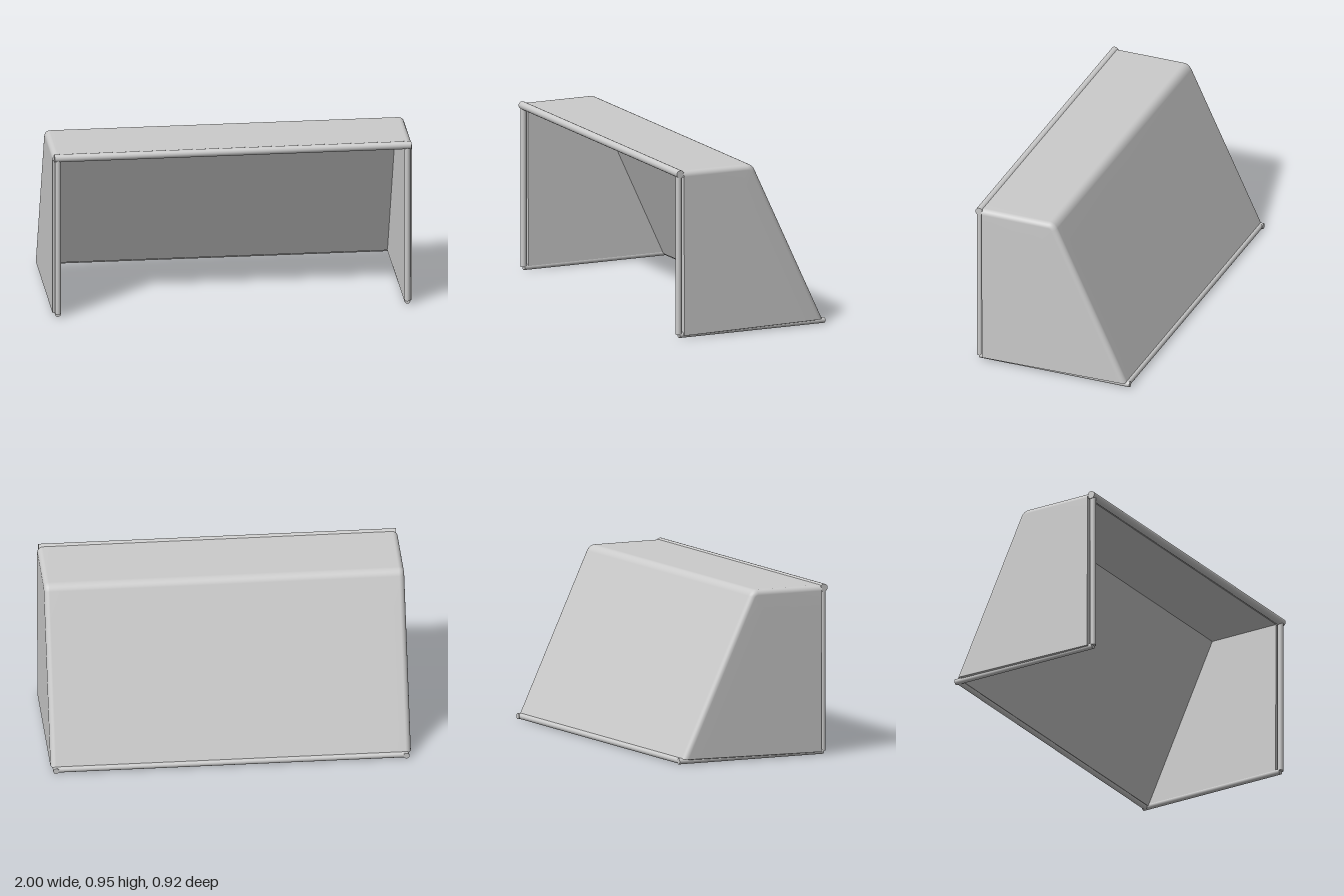
import * as THREE from 'three';

const material = new THREE.MeshStandardMaterial({ color: 0xcccccc });
const netMaterial = new THREE.MeshStandardMaterial({ color: 0xcccccc, side: THREE.DoubleSide });

// Round bar between two points
function bar(name, from, to, radius) {
  const a = new THREE.Vector3(...from), b = new THREE.Vector3(...to);
  const mesh = new THREE.Mesh(new THREE.CylinderGeometry(radius, radius, a.distanceTo(b), 16), material);
  mesh.position.copy(a).add(b).multiplyScalar(0.5);
  mesh.quaternion.setFromUnitVectors(new THREE.Vector3(0, 1, 0), b.sub(a).normalize());
  mesh.name = name;
  return mesh;
}

// Flat panels joining two rows of points
function ribbon(name, rowA, rowB) {
  const positions = [];
  for (let i = 0; i < rowA.length - 1; i++) {
    const [a, b, c, d] = [rowA[i], rowA[i + 1], rowB[i + 1], rowB[i]];
    positions.push(...a, ...b, ...c, ...a, ...c, ...d);
  }
  const geometry = new THREE.BufferGeometry();
  geometry.setAttribute('position', new THREE.Float32BufferAttribute(positions, 3));
  geometry.computeVertexNormals();
  const mesh = new THREE.Mesh(geometry, netMaterial);
  mesh.name = name;
  return mesh;
}

// Outer skin of the net: roof and sloping back, rounded over into the two flat sides
function netGeometry() {
  const v = (z, y) => new THREE.Vector2(z, y);
  const round = 0.03, corner = v(0.415, 0.016);

  // Side outline (z, y) from the front of the roof down to the back bar
  const bend = new THREE.QuadraticBezierCurve(v(0.024, 0.945), v(-0.008, 0.945), v(-0.025, 0.912));
  const outline = [v(0.42, 0.945), v(0.22, 0.945), ...bend.getPoints(8)];
  for (let i = 1; i <= 6; i++) outline.push(v(-0.025, 0.912).lerp(v(-0.441, 0.027), i / 6));
  const last = outline.length - 1;
  const inward = outline.map((p, i) => {
    if (i === last) return v(1.1, 0);
    const d = outline[i + 1].clone().sub(outline[Math.max(i - 1, 0)]).normalize();
    return v(-d.y, d.x);
  });

  // Half section: fan across the side, then the rounded edge
  const half = [];
  for (const t of [0, 0.5, 0.9]) half.push({ x: 1, inset: round, t });
  for (let k = 0; k <= 6; k++) {
    const a = (k / 6) * Math.PI / 2;
    half.push({ x: 1 - round + round * Math.cos(a), inset: round * (1 - Math.sin(a)), t: 1 });
  }
  const section = [...half, { x: 0.9, inset: 0, t: 1 }, { x: 0, inset: 0, t: 1 }, { x: -0.9, inset: 0, t: 1 },
    ...half.map(s => ({ ...s, x: -s.x })).reverse()];

  const positions = [], index = [], n = section.length;
  outline.forEach((p, i) => section.forEach((s, j) => {
    const q = corner.clone().lerp(p.clone().addScaledVector(inward[i], s.inset), s.t);
    positions.push(s.x, q.y, q.x);
    if (i < last && j < n - 1) {
      const a = i * n + j, b = a + n;
      if (j > 0) index.push(a, b, a + 1);
      else index.push(a, b + 1, a + 1);
      if (j > 0 && j < n - 2) index.push(b, b + 1, a + 1);
    }
  }));
  const geometry = new THREE.BufferGeometry();
  geometry.setAttribute('position', new THREE.Float32BufferAttribute(positions, 3));
  geometry.setIndex(index);
  geometry.computeVertexNormals();
  // The shared fan corners point straight out of each side
  const normal = geometry.attributes.normal;
  for (let i = 0; i <= last; i++) {
    normal.setXYZ(i * n, 1, 0, 0);
    normal.setXYZ(i * n + n - 1, -1, 0, 0);
  }
  return geometry;
}

export function createModel() {
  const group = new THREE.Group();
  group.name = 'goal';

  const net = new THREE.Mesh(netGeometry(), netMaterial);
  net.name = 'net';
  group.add(net);

  // Inner skin: roof and back, then the rims closing the net's thickness
  const w = 0.957;
  const roofFront = x => [x, 0.912, 0.418], roofBack = x => [x, 0.912, 0.002];
  const floorBack = x => [x, 0.013, -0.417], floorFront = x => [x, 0.014, 0.415];
  const inner = x => [roofFront(x), roofBack(x), floorBack(x)];
  group.add(ribbon('innerNet', inner(-w), inner(w)));
  group.add(ribbon('roofRim', [[-0.97, 0.945, 0.42], [0.97, 0.945, 0.42]], [roofFront(-w), roofFront(w)]));
  group.add(ribbon('backRim', [[-0.97, 0.027, -0.441], [0.97, 0.027, -0.441]], [floorBack(-w), floorBack(w)]));

  // Frame, with the inner skin and rim of each side
  group.add(bar('crossbar', [-0.992, 0.93, 0.437], [0.992, 0.93, 0.437], 0.022));
  group.add(bar('backBar', [-0.972, 0.0165, -0.44], [0.972, 0.0165, -0.44], 0.0165));
  for (const [side, s] of [['left', 1], ['right', -1]]) {
    const x = s * 0.972, i = s * w;
    group.add(ribbon(side + 'InnerNet', [roofFront(i), roofBack(i)], [floorFront(i), floorBack(i)]));
    group.add(ribbon(side + 'Rim', [[s, 0.915, 0.42], [s, 0.016, 0.415], [s, 0.027, -0.408]],
      [roofFront(i), floorFront(i), floorBack(i)]));
    group.add(bar(side + 'Post', [x, 0.02, 0.438], [x, 0.93, 0.438], 0.017));
    group.add(bar(side + 'GroundBar', [x, 0.0165, 0.438], [x, 0.0165, -0.458], 0.0165));
  }
  return group;
}
